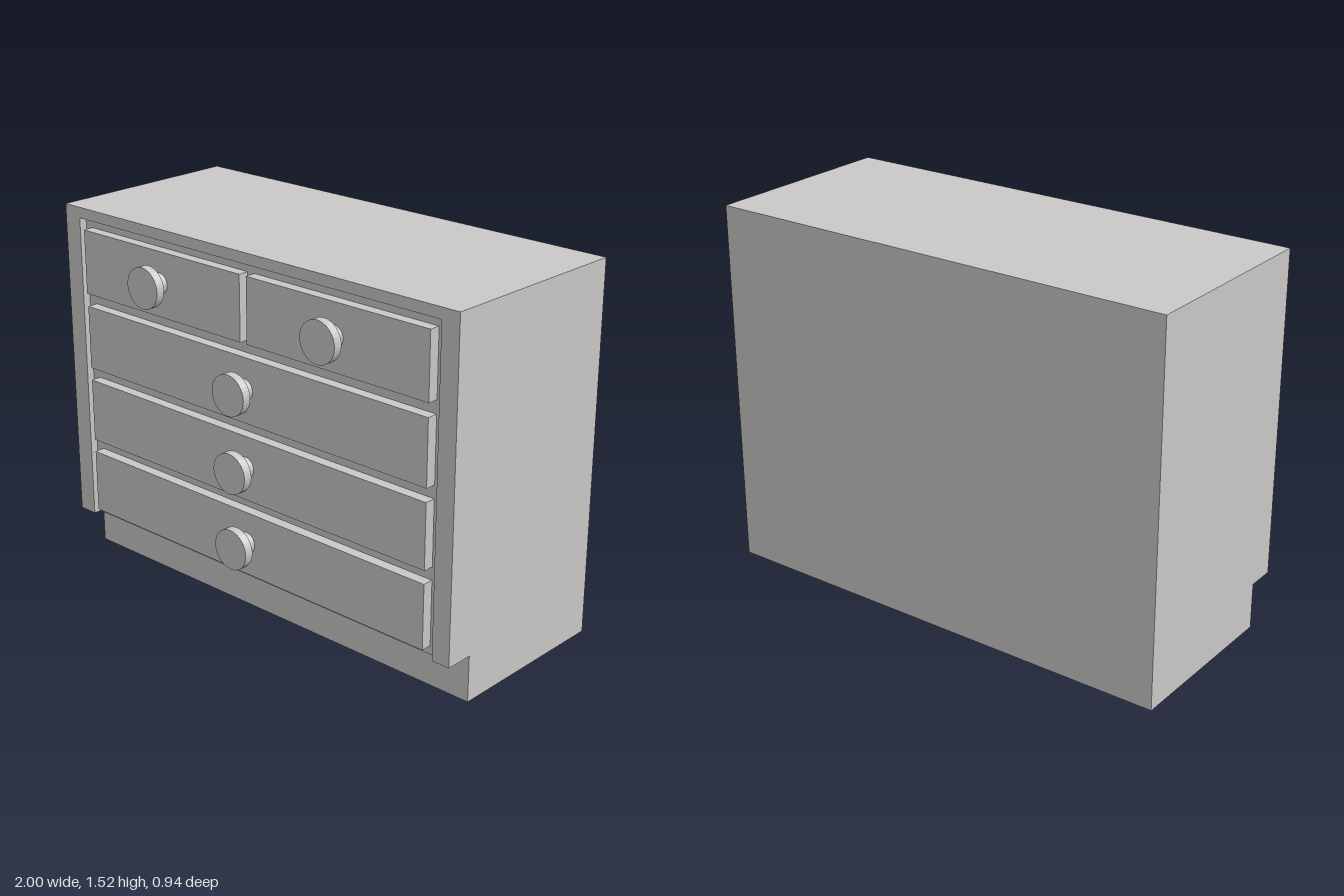
import * as THREE from 'three';

export function createModel() {
  const model = new THREE.Group();
  model.name = 'chestOfDrawers';
  const paint = new THREE.MeshStandardMaterial({ color: 0xc9c8c6, flatShading: true });
  paint.name = 'paleGrey';

  const add = (name, geometry, parent = model) => {
    const mesh = new THREE.Mesh(geometry, paint);
    mesh.name = name;
    parent.add(mesh);
    return mesh;
  };

  const H = 1.523, BACK = -0.47, FRONT = 0.372, KICK = 0.254, KICK_TOP = 0.19;
  const FACE = 0.34, DRAWER = 0.384, OPEN_L = -0.917, OPEN_R = 0.922, OPEN_TOP = 1.479;

  // Extrude a (z, y) side profile across the width from x0 to x1
  const slab = (name, points, x0, x1) => {
    const shape = new THREE.Shape(points.map(([z, y]) => new THREE.Vector2(-z, y)));
    const g = new THREE.ExtrudeGeometry(shape, { depth: x1 - x0, bevelEnabled: false });
    g.rotateY(Math.PI / 2).translate(x0, 0, 0);
    add(name, g);
  };

  // Carcass: two side panels with a toe-kick notch
  const base = [[BACK, 0], [KICK, 0], [KICK, KICK_TOP]];
  const side = [...base, [FRONT, KICK_TOP], [FRONT, H], [BACK, H]];
  slab('sidePanelRight', side, -1, OPEN_L);
  slab('sidePanelLeft', side, OPEN_R, 1);

  // Middle body with a recessed face below the top rail
  slab('body', [...base, [FACE, KICK_TOP], [FACE, OPEN_TOP], [FRONT, OPEN_TOP], [FRONT, H], [BACK, H]],
    OPEN_L, OPEN_R);

  // Turned knob: thin stem and round cap
  const disc = (r, z0, z1) =>
    new THREE.CylinderGeometry(r, r, z1 - z0, 32).rotateX(Math.PI / 2).translate(0, 0, (z0 + z1) / 2);

  // Drawer front with a centred knob
  const drawer = (name, x0, x1, y) => {
    const group = new THREE.Group();
    group.name = name;
    group.position.set((x0 + x1) / 2, y, 0);
    const depth = DRAWER - FACE;
    add('drawerFront', new THREE.BoxGeometry(x1 - x0, 0.264, depth).translate(0, -0.004, FACE + depth / 2), group);
    add('knobStem', disc(0.043, DRAWER, 0.437), group);
    add('knobCap', disc(0.083, 0.437, 0.473), group);
    model.add(group);
  };

  drawer('topDrawerRight', -0.88, -0.013, 1.312);
  drawer('topDrawerLeft', 0.021, 0.887, 1.312);
  [0.995, 0.678, 0.361].forEach((y, i) => drawer('wideDrawer' + (i + 1), -0.877, 0.887, y));

  return model;
}
